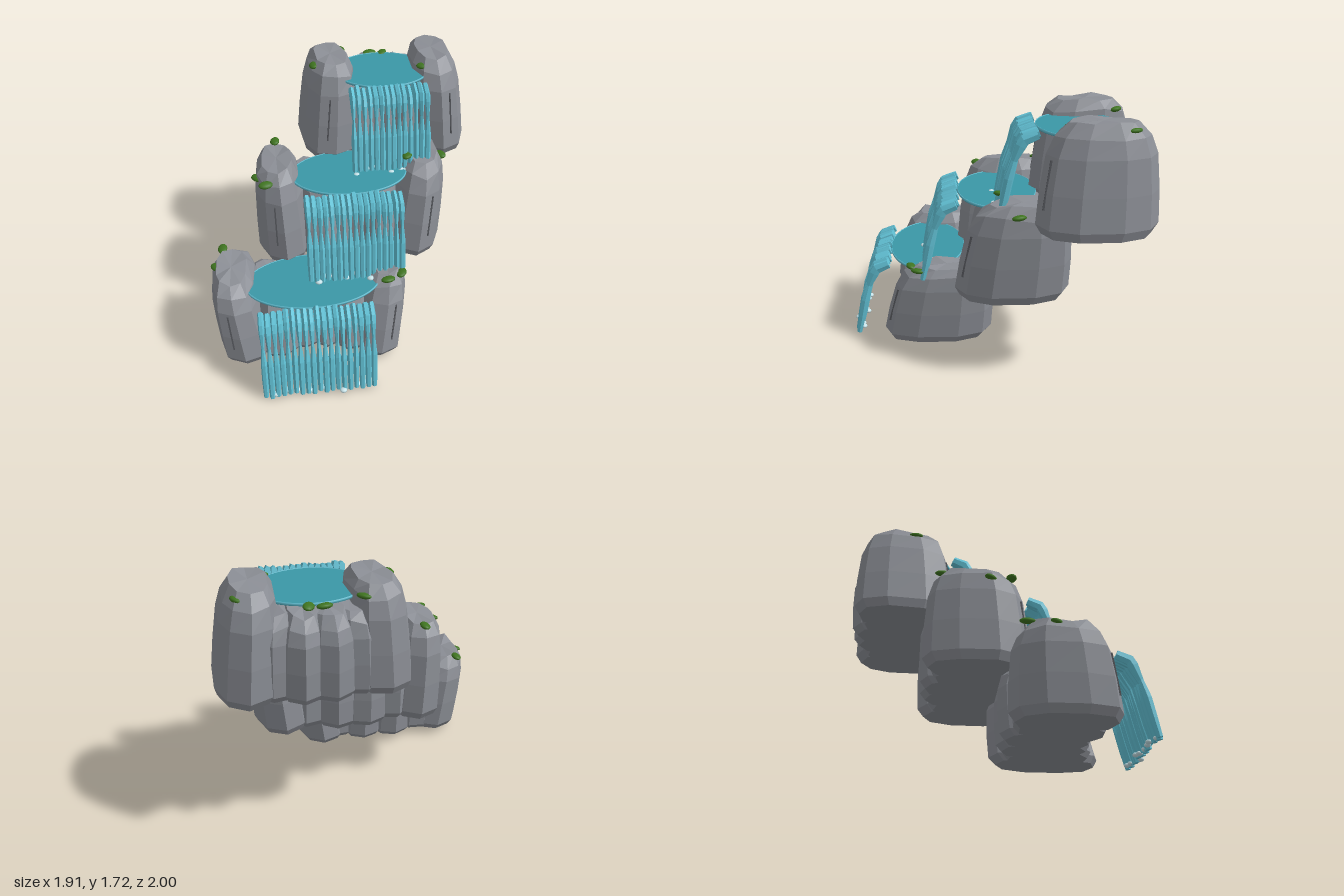
import * as THREE from 'three';

const mat = (name, color) => {
  const m = new THREE.MeshStandardMaterial({ color });
  m.name = name;
  return m;
};

// Small seeded random generator, returns -1..1
function seeded(seed) {
  let s = seed * 7919 + 17;
  return () => {
    s = (s * 16807) % 2147483647;
    return (s / 2147483647) * 2 - 1;
  };
}

// Closed faceted skin over rings of points listed from bottom to top
function loft(rings) {
  const out = [];
  const tri = (...p) => p.forEach(v => out.push(v.x, v.y, v.z));
  const n = rings[0].length;
  const mid = r => r.reduce((a, p) => a.add(p), new THREE.Vector3()).divideScalar(n);
  const last = rings[rings.length - 1], c0 = mid(rings[0]), c1 = mid(last);
  for (let i = 0; i < n; i++) {
    const j = (i + 1) % n;
    for (let k = 0; k < rings.length - 1; k++) {
      const a = rings[k], b = rings[k + 1];
      tri(a[i], b[i], a[j]);
      tri(a[j], b[i], b[j]);
    }
    tri(c0, rings[0][i], rings[0][j]);
    tri(c1, last[j], last[i]);
  }
  const g = new THREE.BufferGeometry();
  g.setAttribute('position', new THREE.Float32BufferAttribute(out, 3));
  g.computeVertexNormals();
  return g;
}

export function createModel() {
  const model = new THREE.Group();
  model.name = 'tieredWaterfall';
  const stone = mat('stone grey', 0x8c8f96);
  const crackMat = mat('crack grey', 0x55575c);
  const water = mat('pool teal', 0x3b98a7);
  const light = mat('light water', 0x62c2d6);
  const foamMat = mat('foam', 0xc8e4ea);
  const mossMat = mat('moss green', 0x3f7420);

  const add = (parent, name, geo, material) => {
    const m = new THREE.Mesh(geo, material);
    m.name = name;
    parent.add(m);
    return m;
  };

  // Boulder: chamfered foot, widest low down, narrowing to a chipped, flat crown
  const N = 10;
  const profile = [[0, 0.9], [0.09, 1], [0.4, 0.965], [0.72, 0.89], [0.89, 0.77], [1, 0.55]];
  function rock(parent, name, o) {
    const rnd = seeded(o.seed);
    const bumps = Array.from({ length: N }, () => 1 + rnd() * 0.035);
    const yaw = o.yaw || 0;
    const rings = profile.map(([t, s], k) => bumps.map((b, i) => {
      const a = (i + 0.5) / N * Math.PI * 2;
      const ca = Math.cos(a), sa = Math.sin(a);
      const x = Math.sign(ca) * Math.abs(ca) ** 0.85 * o.rx * s * b;
      const z = Math.sign(sa) * Math.abs(sa) ** 0.85 * o.rz * s * b * 1.02;
      const jag = k > 3 ? rnd() * 0.018 : 0;
      return new THREE.Vector3(
        o.x + o.lx * t / 0.75 + x * Math.cos(yaw) + z * Math.sin(yaw),
        o.y0 + (o.y1 - o.y0) * t + jag,
        o.z + o.lz * t / 0.75 - x * Math.sin(yaw) + z * Math.cos(yaw));
    }));
    add(parent, name, loft(rings), stone);
    // Narrow crack running up the chosen face
    if (o.crack) {
      const i = o.crack;
      const on = (k, q) => rings[k][i].clone().lerp(rings[k][i + 1], q);
      const p = on(1, 0.5).lerp(on(2, 0.5), 0.5), q = on(2, 0.45).lerp(on(3, 0.45), 0.9);
      const c = add(parent, name + 'Crack', new THREE.BoxGeometry(0.01, p.distanceTo(q), 0.02), crackMat);
      c.position.copy(p).add(q).multiplyScalar(0.5);
      c.quaternion.setFromUnitVectors(new THREE.Vector3(0, 1, 0), q.sub(p).normalize());
    }
  }

  // One strand of falling water: thick lip, pinch, then a broad straight fall
  // [forward, height, half width, half thickness] from foot to lip
  const strandPath = [
    [0.232, -0.53, 0.017, 0.018], [0.205, -0.41, 0.021, 0.024], [0.178, -0.28, 0.021, 0.026],
    [0.145, -0.165, 0.01, 0.018], [0.105, -0.07, 0.02, 0.034], [0.085, -0.035, 0.021, 0.036], [0.0, 0.0, 0.02, 0.03]];
  function strand(x, y, z, rnd) {
    const dz = rnd() * 0.008, dip = rnd() * 0.01, twist = rnd() * 0.35;
    const pts = strandPath.map(([f, h]) => new THREE.Vector3(x, y + h + dip, z + f + dz));
    return loft(pts.map((p, k) => {
      const t = pts[Math.min(k + 1, pts.length - 1)].clone().sub(pts[Math.max(k - 1, 0)]).normalize();
      const [, , w, d] = strandPath[k];
      return Array.from({ length: 6 }, (_, i) => {
        const a = i / 6 * Math.PI * 2 + twist;
        const c = Math.cos(a) * w, s = Math.sin(a) * d * 1.1;
        return new THREE.Vector3(p.x + c, p.y - t.z * s, p.z + t.y * s);
      });
    }));
  }

  const ball = new THREE.SphereGeometry(1, 12, 8);
  const blob = (parent, name, material, p, s) => {
    const m = add(parent, name, ball, material);
    m.position.set(...p);
    m.scale.set(...s);
    return m;
  };

  const tiers = [
    { name: 'lowerTier', x: -0.27, z: 0.45, y: 0.55, rx: 0.455, strands: 19, fall: [-0.64, 0.085],
      right: { x: -0.735, z: 0.37, y0: 0.05, y1: 0.635, rx: 0.19, rz: 0.335, lx: -0.06, lz: -0.03, yaw: -0.06, crack: 2 },
      left: { x: 0.16, z: 0.385, y0: 0.05, y1: 0.615, rx: 0.185, rz: 0.375, lx: 0.06, lz: -0.06, crack: 1 },
      moss: [[-0.87, 0.635, 0.13], [-0.91, 0.615, 0.3], [0.23, 0.595, 0.55], [0.33, 0.6, 0.5]] },
    { name: 'middleTier', x: 0.04, z: -0.045, y: 1.08, rx: 0.4, strands: 17, fall: [-0.28, 0.345],
      right: { x: -0.42, z: -0.13, y0: 0.5, y1: 1.175, rx: 0.19, rz: 0.34, lx: -0.025, lz: -0.02, crack: 2 },
      left: { x: 0.495, z: -0.115, y0: 0.5, y1: 1.16, rx: 0.195, rz: 0.365, lx: 0.055, lz: -0.05, crack: 1 },
      moss: [[-0.45, 1.175, -0.37], [-0.59, 1.08, -0.06], [-0.54, 1.11, 0.08], [0.45, 1.185, -0.05], [0.71, 1.11, -0.15]] },
    { name: 'upperTier', x: 0.34, z: -0.545, y: 1.6, rx: 0.335, strands: 14, fall: [0.085, 0.595],
      right: { x: -0.055, z: -0.62, y0: 1.03, y1: 1.71, rx: 0.2, rz: 0.35, lx: 0.03, lz: -0.02, yaw: 0.1, crack: 2 },
      left: { x: 0.765, z: -0.615, y0: 1.03, y1: 1.71, rx: 0.205, rz: 0.36, lx: -0.04, lz: -0.02, crack: 1 },
      moss: [[-0.14, 1.66, -0.56], [0.07, 1.64, -0.84], [0.3, 1.6, -0.84], [0.39, 1.6, -0.83], [0.79, 1.67, -0.81], [0.62, 1.66, -0.45]] },
  ];

  tiers.forEach((t, n) => {
    const g = new THREE.Group();
    g.name = t.name;
    model.add(g);
    const rnd = seeded(n + 3), rz = 0.268;

    // Pool disc with a slim bright rim
    const pool = add(g, 'pool', new THREE.CylinderGeometry(1, 1, 0.016, 48), water);
    pool.position.set(t.x, t.y, t.z);
    pool.scale.set(t.rx, 1, rz);
    const rim = add(g, 'poolRim', new THREE.TorusGeometry(1, 0.014, 6, 48), light);
    rim.rotation.x = Math.PI / 2;
    rim.position.set(t.x, t.y + 0.003, t.z);
    rim.scale.set(t.rx, rz, 0.65);

    // Flanking boulders
    rock(g, 'rightRock', { ...t.right, seed: n * 10 + 1 });
    rock(g, 'leftRock', { ...t.left, seed: n * 10 + 2 });

    // Row of overlapping boulders behind and beneath the pool
    [-0.62, -0.2, 0.22, 0.62].forEach((f, i) => {
      rock(g, 'backRock', {
        x: t.x + f * t.rx, z: t.z - 0.14 + f * f * 0.16, y0: t.right.y0, y1: t.y - 0.035,
        rx: 0.17, rz: 0.3, lx: 0, lz: -0.05, yaw: -f * 0.4, seed: n * 10 + 4 + i,
      });
    });

    // Curtain of strands over the front edge
    const [x0, x1] = t.fall, zf = t.z + rz + 0.005;
    const fall = new THREE.Group();
    fall.name = 'waterfall';
    g.add(fall);
    for (let i = 0; i < t.strands; i++) {
      const x = x0 + (x1 - x0) * i / (t.strands - 1);
      add(fall, 'strand', strand(x, t.y, zf, rnd), light);
    }

    // Foam droplets at the foot of the fall
    for (let i = 0; i < 9; i++) {
      const x = x0 + (x1 - x0) * (i + 0.5 + rnd() * 0.4) / 9;
      blob(g, 'foam', foamMat, [x, t.y - 0.52, zf + 0.225 + rnd() * 0.045], [0.024, 0.015, 0.022]);
    }

    // Moss tufts
    t.moss.forEach((p, i) => {
      const m = blob(g, 'moss', mossMat, p, [0.034, 0.018, 0.05]);
      m.rotation.y = i * 0.9;
      m.rotation.z = p[0] > t.x ? -0.2 : 0.2;
    });
  });

  return model;
}
